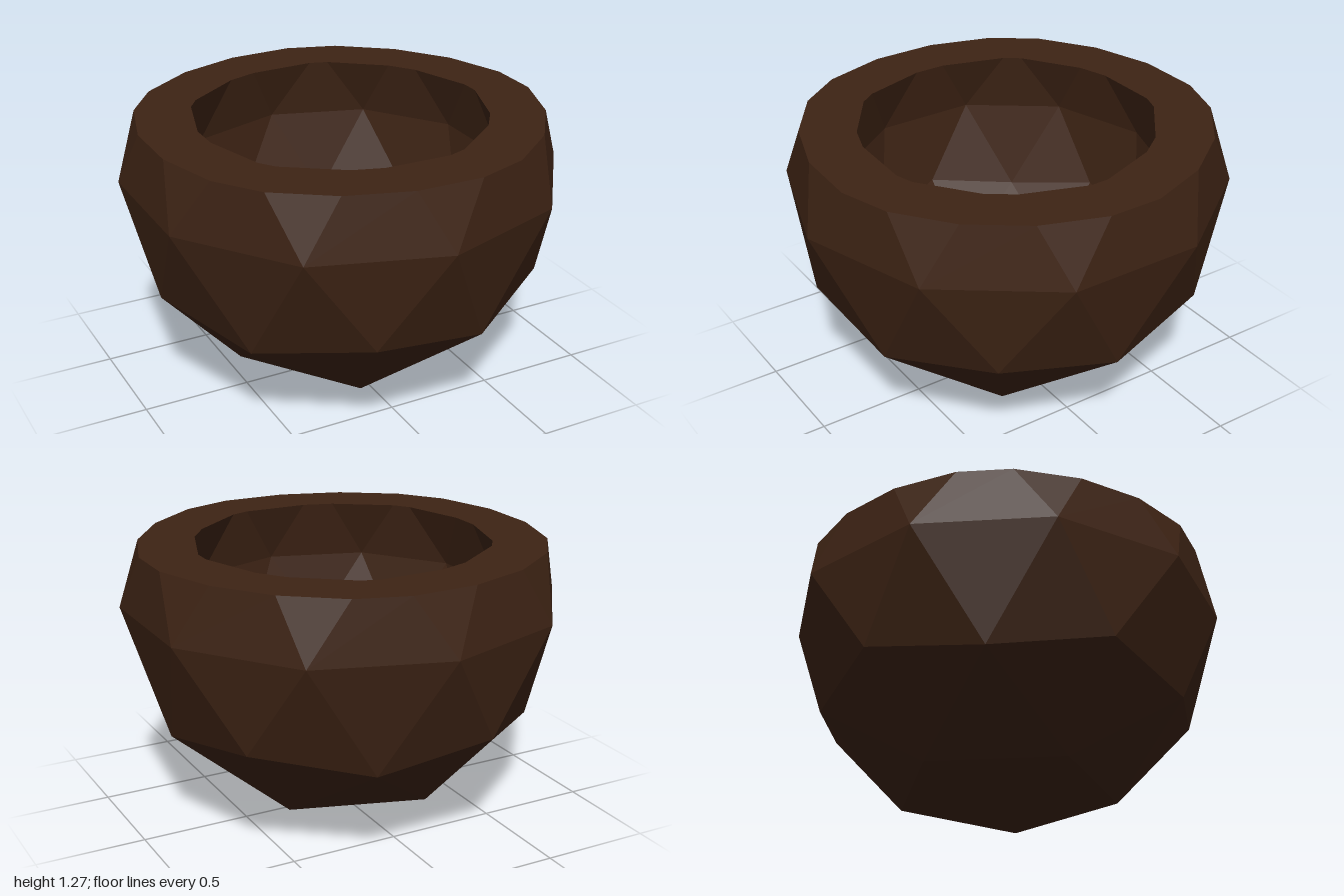
import * as THREE from 'three';

const RIM = 1.27;    // height of the flat rim
const CENTER = 1;    // height of the spheres' shared centre
const INNER = 0.745; // radius of the hollow

// point on a ring, angle counted in steps of 36 degrees
const ringPoint = (step, r, y) =>
  new THREE.Vector3(r * Math.cos(step * Math.PI / 5), y, r * Math.sin(step * Math.PI / 5));

// faceted sphere of 20 x 4 triangles, cut off level with the rim
function cutSphere(radius) {
  const cut = (RIM - CENTER) / radius;
  const faces = [];
  const tri = (...p) => faces.push(p);
  const pole = new THREE.Vector3(0, -1, 0);
  const cap = j => ringPoint(2 * j + 1, 0.5257, -0.8507);
  const low = m => (m % 2 ? ringPoint(m, 0.8944, -0.4472) : ringPoint(m, 0.8507, -0.5257));
  const mid = m => ringPoint(m + 0.5, 1, 0);
  const high = m => (m % 2 ? ringPoint(m, 0.8507, 0.5257) : ringPoint(m, 0.8944, 0.4472));
  // where the edge from an equator point to an upper point meets the rim
  const edge = (m, k) => mid(m).lerp(high(k), cut / high(k).y);

  for (let j = 0; j < 5; j++) {
    const a = cap(j), b = cap(j + 1), m = low(2 * j + 2);
    tri(pole, a, b);
    tri(a, low(2 * j + 1), m);
    tri(b, m, low(2 * j + 3));
    tri(a, m, b);
  }
  const rim = [];
  for (let k = 0; k < 10; k++) {
    const e0 = mid(k - 1), e1 = mid(k);
    const c0 = edge(k - 1, k), c1 = edge(k, k), next = edge(k, k + 1);
    tri(low(k + 1), low(k), e1);
    tri(e0, e1, low(k));
    tri(e1, e0, c0);
    tri(e1, c0, c1);
    tri(e1, c1, next);
    rim.push(c0, c1);
  }
  const place = p => p.clone().multiplyScalar(radius).add(new THREE.Vector3(0, CENTER, 0));
  return { faces: faces.map(f => f.map(place)), rim: rim.map(place) };
}

function facetedMesh(name, faces, material) {
  const geometry = new THREE.BufferGeometry().setFromPoints(faces.flat());
  geometry.computeVertexNormals();
  const mesh = new THREE.Mesh(geometry, material);
  mesh.name = name;
  return mesh;
}

export function createModel() {
  const group = new THREE.Group();
  group.name = 'bowl';
  const material = new THREE.MeshStandardMaterial({ color: 0x3d2314, flatShading: true });
  const outer = cutSphere(1);
  const inner = cutSphere(INNER);

  // flat ring joining the two cut edges
  const rimFaces = [];
  outer.rim.forEach((a, i) => {
    const n = (i + 1) % outer.rim.length;
    rimFaces.push([outer.rim[n], a, inner.rim[i]], [outer.rim[n], inner.rim[i], inner.rim[n]]);
  });

  group.add(
    facetedMesh('outerShell', outer.faces, material),
    facetedMesh('innerHollow', inner.faces.map(f => f.reverse()), material),
    facetedMesh('rim', rimFaces, material),
  );
  return group;
}
